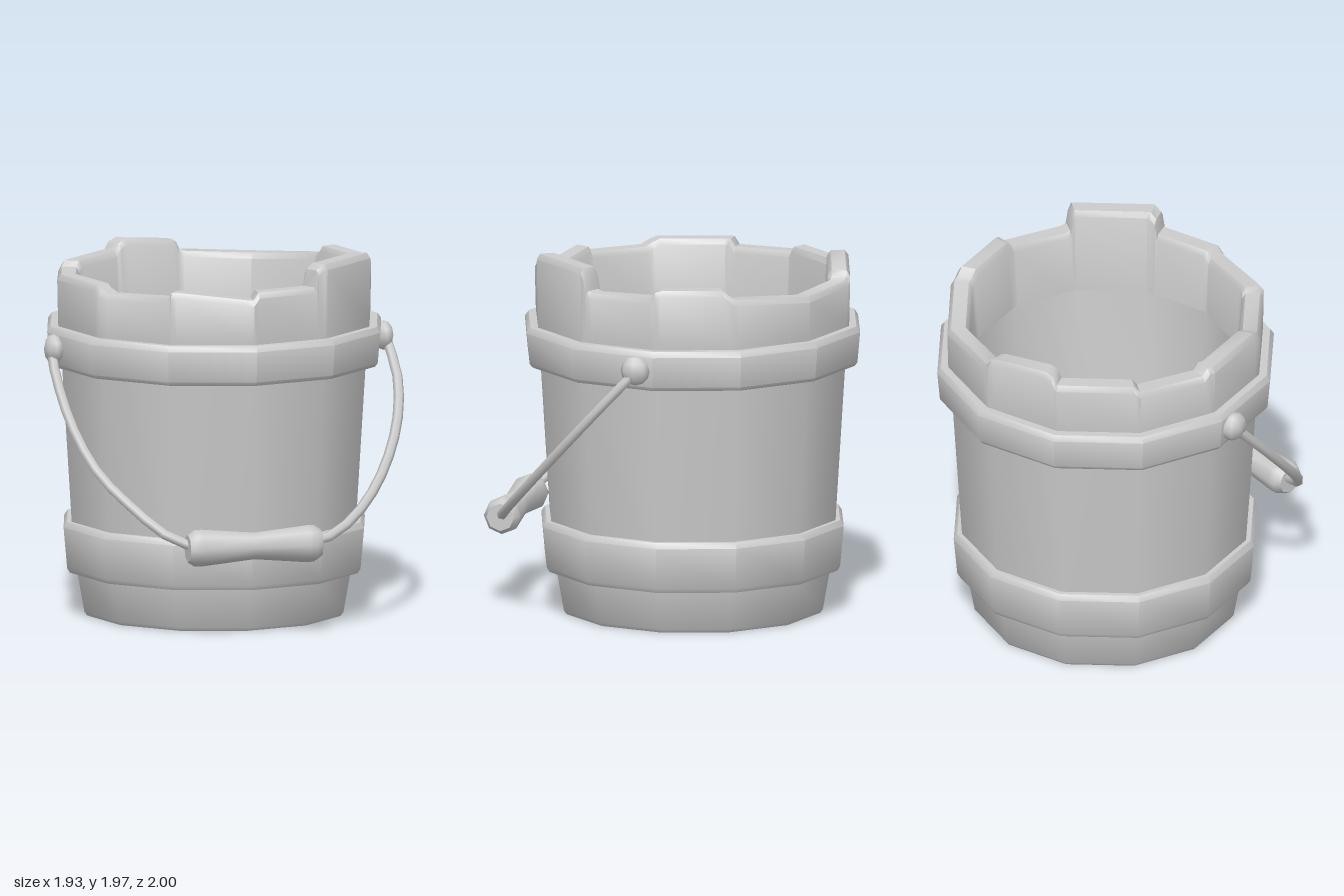
import * as THREE from 'three';
import { toCreasedNormals } from 'three/addons/utils/BufferGeometryUtils.js';

const SIDES = 12;
const material = new THREE.MeshStandardMaterial({ color: 0xcccccc, side: THREE.DoubleSide });

function part(name, geometry, crease = 0.7) {
  const mesh = new THREE.Mesh(toCreasedNormals(geometry, crease), material);
  mesh.name = name;
  return mesh;
}

function lathe(profile, sides = SIDES) {
  return new THREE.LatheGeometry(profile.map(([r, y]) => new THREE.Vector2(r, y)), sides);
}

// Uneven stave tops: [angle in degrees from the front towards +x, height]
const rimTops = [
  [0, 1.82], [2, 1.86], [25.5, 1.86], [26.5, 1.95], [29, 1.98], [30, 1.98],
  [60, 1.98], [61, 1.95], [62, 1.86], [64, 1.85], [88, 1.86], [90, 1.89],
  [92, 1.9], [115, 1.9], [118, 1.86], [120, 1.85], [150, 1.82], [178, 1.83],
  [180, 1.85], [181, 1.88], [183, 1.89], [205, 1.92], [208, 1.9], [209.5, 1.86],
  [210, 1.86], [238, 1.86], [240, 1.83], [266, 1.82], [268, 1.86], [270, 1.86],
  [297, 1.86], [300, 1.84], [303, 1.82], [329, 1.83], [330, 1.86], [332, 1.86],
  [358, 1.82],
];

// Rim: a chamfered section swept round the twelve-sided outline
function rimGeometry() {
  const positions = [], index = [];
  const step = 360 / SIDES, half = step / 2;
  const n = rimTops.length, m = 7;
  rimTops.forEach(([deg, h]) => {
    const a = THREE.MathUtils.degToRad(deg);
    const chord = Math.cos(THREE.MathUtils.degToRad(half)) /
      Math.cos(THREE.MathUtils.degToRad((deg % step) - half));
    const section = [[0.85, 1.5], [0.86, 1.6], [0.865, h - 0.03], [0.845, h],
      [0.765, h], [0.745, h - 0.03], [0.723, 1.5]];
    for (const [r, y] of section) {
      positions.push(r * chord * Math.sin(a), y, r * chord * Math.cos(a));
    }
  });
  for (let i = 0; i < n; i++) {
    const k = (i + 1) % n;
    for (let j = 0; j < m - 1; j++) {
      const a = i * m + j, b = k * m + j;
      index.push(a, b, a + 1, b, b + 1, a + 1);
    }
  }
  const g = new THREE.BufferGeometry();
  g.setAttribute('position', new THREE.Float32BufferAttribute(positions, 3));
  g.setIndex(index);
  return g;
}

export function createModel() {
  const group = new THREE.Group();
  group.name = 'bucket';

  // Vessel, sitting slightly behind the centre
  const vessel = new THREE.Group();
  vessel.name = 'vessel';
  vessel.position.z = -0.08;
  vessel.add(
    part('body', lathe([[0, 0.06], [0.61, 0.06], [0.62, 0.01], [0.7, 0.01], [0.715, 0.03],
      [0.755, 0.25], [0.785, 0.52], [0.84, 1.4], [0.85, 1.5]])),
    part('innerWallAndFloor', lathe([[0.723, 1.5], [0.62, 0.12], [0, 0.12]])),
    part('rim', rimGeometry()),
    part('lowerBand', lathe([[0.74, 0.245], [0.795, 0.245], [0.81, 0.27], [0.83, 0.49],
      [0.81, 0.52], [0.74, 0.52]])),
    part('upperBand', lathe([[0.8, 1.365], [0.89, 1.365], [0.905, 1.385], [0.92, 1.55],
      [0.9, 1.58], [0.8, 1.58]])),
  );
  group.add(vessel);

  // Handle pivots
  for (const side of [1, -1]) {
    const knob = part(side > 0 ? 'leftKnob' : 'rightKnob', new THREE.SphereGeometry(0.08, 8, 6), 1);
    knob.scale.x = 0.68;
    knob.position.set(side * 0.908, 1.475, 0.015);
    group.add(knob);
  }

  // Wire handle hanging forward in a sloping plane
  const wire = [[-0.92, 1.47], [-0.925, 1.35], [-0.89, 1.1], [-0.8, 0.88], [-0.65, 0.71],
    [-0.5, 0.58], [-0.38, 0.53], [0, 0.515], [0.34, 0.53], [0.5, 0.6], [0.67, 0.74],
    [0.81, 0.92], [0.9, 1.1], [0.94, 1.28], [0.92, 1.47]];
  const path = new THREE.CatmullRomCurve3(
    wire.map(([x, y]) => new THREE.Vector3(x, y, 0.02 + (1.46 - y) * 0.93)));
  group.add(part('handleWire', new THREE.TubeGeometry(path, 28, 0.028, 6), 1.2));

  // Grip: waisted cylinder lying along x
  const grip = part('grip', lathe([[0, -0.365], [0.075, -0.365], [0.098, -0.33], [0.1, -0.29],
    [0.072, 0], [0.1, 0.29], [0.098, 0.33], [0.075, 0.365], [0, 0.365]], 8), 0.9);
  grip.rotation.z = -Math.PI / 2;
  grip.position.set(-0.032, 0.515, 0.895);
  group.add(grip);

  return group;
}
